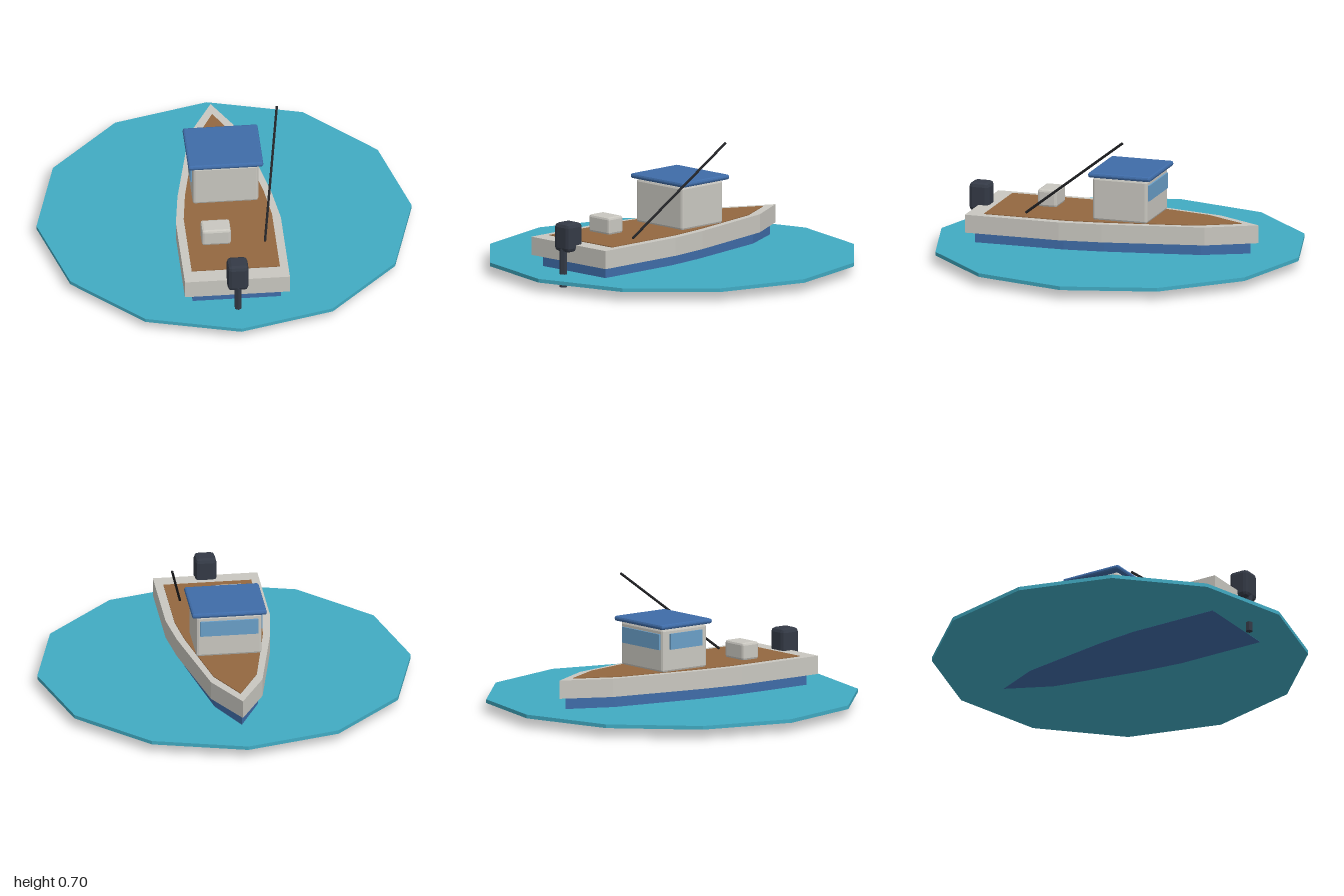
import * as THREE from 'three';
import { RoundedBoxGeometry } from 'three/addons/geometries/RoundedBoxGeometry.js';

const paint = (name, color) => {
  const m = new THREE.MeshStandardMaterial({ color, flatShading: true });
  m.name = name;
  return m;
};

export function createModel() {
  const boat = new THREE.Group();
  boat.name = 'fishingBoat';

  const water = paint('water teal', 0x41abc3);
  const white = paint('off white', 0xc9c7c0);
  const blue = paint('hull blue', 0x3f6ca8);
  const wood = paint('deck brown', 0x946840);
  const glass = paint('window blue', 0x6a9fc8);
  const dark = paint('motor grey', 0x343a46);
  const black = paint('rod black', 0x222326);

  const add = (name, geometry, material, x = 0, y = 0, z = 0) => {
    const mesh = new THREE.Mesh(geometry, material);
    mesh.name = name;
    mesh.position.set(x, y, z);
    boat.add(mesh);
    return mesh;
  };

  // Half outline of the hull from bow to stern as [x, z]
  const half = [[0, -0.775], [0.138, -0.52], [0.207, -0.19], [0.25, 0.02], [0.28, 0.25], [0.28, 0.775]];

  // Hull-shaped slab between two heights, scaled from the outline
  const slab = (sx, sz, y0, y1) => {
    const right = half.map(([x, z]) => new THREE.Vector2(x * sx, -z * sz));
    const left = right.slice(1).reverse().map((p) => new THREE.Vector2(-p.x, p.y));
    const g = new THREE.ExtrudeGeometry(new THREE.Shape([...right, ...left]), { depth: y1 - y0, bevelEnabled: false });
    return g.rotateX(-Math.PI / 2).translate(0, y0, 0);
  };

  // Twelve-sided water disc
  add('waterDisc', new THREE.CylinderGeometry(1, 1, 0.02, 12), water, 0, 0.06, 0);

  // Hull layers
  add('lowerHull', slab(0.84, 0.945, 0.0495, 0.135), blue);
  add('gunwale', slab(1, 1, 0.13, 0.228), white);
  add('deck', slab(0.84, 0.88, 0.22, 0.232), wood);

  // Cabin with chamfered edges and overhanging roof
  add('cabin', new RoundedBoxGeometry(0.35, 0.235, 0.304, 1, 0.013), white, 0, 0.345, -0.056);
  add('cabinRoof', new RoundedBoxGeometry(0.4, 0.027, 0.35, 1, 0.011), blue, 0, 0.478, -0.06);
  add('bowWindow', new THREE.BoxGeometry(0.31, 0.085, 0.009), glass, 0, 0.393, -0.2125);
  add('sideWindow', new THREE.BoxGeometry(0.009, 0.085, 0.22), glass, -0.1795, 0.393, -0.05);

  // Storage box on the aft deck
  add('storageBox', new RoundedBoxGeometry(0.155, 0.095, 0.108, 1, 0.013), white, -0.083, 0.276, 0.412);

  // Outboard motor
  add('motorHead', new RoundedBoxGeometry(0.112, 0.155, 0.112, 1, 0.022), dark, 0, 0.268, 0.775);
  add('motorShaft', new THREE.CylinderGeometry(0.02, 0.02, 0.21, 6).rotateY(Math.PI / 6), dark, 0, 0.105, 0.813)
    .rotation.y = Math.PI / 6;

  // Fishing rod leaning outward over the side
  const butt = new THREE.Vector3(0.175, 0.24, 0.468);
  const tip = new THREE.Vector3(0.292, 0.693, -0.112);
  const along = tip.clone().sub(butt);
  const rod = add('fishingRod', new THREE.CylinderGeometry(0.007, 0.007, along.length(), 6), black);
  rod.position.copy(butt).add(tip).multiplyScalar(0.5);
  rod.quaternion.setFromUnitVectors(new THREE.Vector3(0, 1, 0), along.normalize());

  return boat;
}
